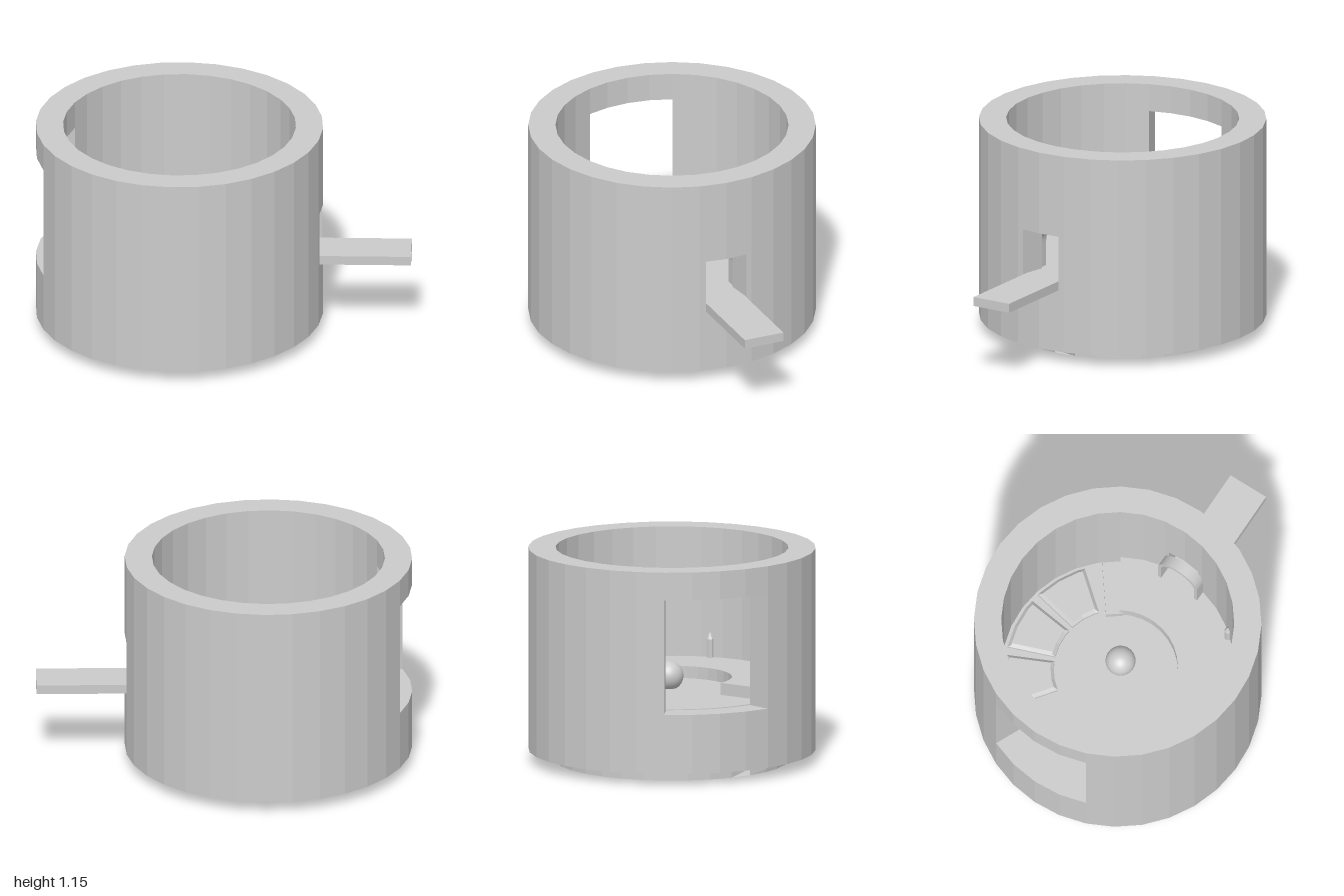
import * as THREE from 'three';

const RAD = Math.PI / 180, STEP = 11.25;
const R = 0.765, RI = 0.62, FLOOR = 0.38, BENCH = 0.45, TOP = 1.15;

const mat = new THREE.MeshStandardMaterial({ color: 0xcccccc, flatShading: true, side: THREE.DoubleSide });
const smooth = new THREE.MeshStandardMaterial({ color: 0xcccccc });

export function createModel() {
  const model = new THREE.Group();
  const body = new THREE.Group();
  body.name = 'tower';
  body.position.x = -0.235;
  model.add(body);

  const add = (name, geo, material = mat) => {
    const mesh = new THREE.Mesh(geo, material);
    mesh.name = name;
    body.add(mesh);
    return mesh;
  };

  // Point on a 32-sided ring; angle in degrees from +x towards +z
  const ringPoint = (r, a) => {
    const mid = (Math.floor(a / STEP + 1e-6) + 0.5) * STEP;
    const d = r * Math.cos(STEP / 2 * RAD) / Math.cos((a - mid) * RAD);
    return new THREE.Vector2(d * Math.cos(a * RAD), -d * Math.sin(a * RAD));
  };
  const arc = (r, a0, a1) => {
    const pts = [ringPoint(r, a0)];
    for (let k = Math.floor(a0 / STEP + 1e-6) + 1; k * STEP < a1 - 1e-6; k++) pts.push(ringPoint(r, k * STEP));
    pts.push(ringPoint(r, a1));
    return pts;
  };
  // Faceted ring segment between two radii, angles and heights
  const sector = (name, r0, r1, a0, a1, y0, y1, bevel = 0) => {
    const shape = new THREE.Shape([...arc(r1, a0, a1), ...arc(r0, a0, a1).reverse()]);
    const geo = new THREE.ExtrudeGeometry(shape, {
      depth: y1 - y0, bevelEnabled: bevel > 0, bevelSize: bevel, bevelThickness: bevel, bevelOffset: -bevel, bevelSegments: 1
    });
    geo.rotateX(-Math.PI / 2);
    geo.translate(0, y0, 0);
    return add(name, geo);
  };

  // Thick wall with a window on one side and a doorway on the other
  const D0 = 2.3, D1 = 19.9, W0 = 168.75, W1 = 213.75;
  sector('frontWall', RI, R, D1, W0, FLOOR, TOP);
  sector('backWall', RI, R, W1, 360 + D0, FLOOR, TOP);
  sector('windowLintel', RI, R, W0, W1, 1.0, TOP);
  sector('windowSill', RI, R, W0, W1, FLOOR - 0.02, FLOOR);
  sector('doorLintel', RI, R, D0, D1, 0.7, TOP);
  sector('doorSill', RI, R, D0, D1, FLOOR, 0.4);

  // Hollow lower skirt around the base drum
  const skirt = new THREE.CylinderGeometry(R, R, FLOOR - 0.06, 32, 1, true);
  skirt.translate(0, (FLOOR + 0.06) / 2, 0);
  add('skirt', skirt);

  // Base drum with one facet open on each side
  for (const [start, n] of [[-78.75, 14], [90, 16]]) {
    const drum = new THREE.CylinderGeometry(RI, RI, FLOOR, n, 1, true, start * RAD, n * STEP * RAD);
    drum.translate(0, FLOOR / 2, 0);
    add('baseDrum', drum);
  }
  const disk = (name, y, dir) => {
    const geo = new THREE.CircleGeometry(RI, 32);
    geo.rotateX(dir * Math.PI / 2);
    geo.translate(0, y, 0);
    add(name, geo);
  };
  disk('baseBottom', 0, 1);
  disk('floor', FLOOR + 0.005, -1);

  // Radial ribs beside the open facets
  for (const a of [0, STEP, 180 - STEP, 180]) {
    const rib = new THREE.ShapeGeometry(new THREE.Shape([[RI, 0], [R, 0.06], [R, FLOOR], [RI, FLOOR]]
      .map(p => new THREE.Vector2(...p))));
    rib.rotateY(-a * RAD);
    add('rib', rib);
  }

  // Raised half-ring platform and the step at its end
  sector('platform', 0.32, RI, -22.5, 156.5, FLOOR, BENCH);
  const step = add('step', new THREE.BoxGeometry(0.295, 0.04, 0.09));
  step.position.set(0.405, FLOOR + 0.02, -0.21);
  step.rotation.y = 28 * RAD;

  // Three bevelled floor pads along the back
  for (const a of [240, 272.5, 305]) sector('floorPad', 0.34, 0.6, a - 14, a + 14, FLOOR + 0.01, FLOOR + 0.025, 0.018);

  // Ball in the middle
  add('ball', new THREE.SphereGeometry(0.08, 32, 20), smooth).position.set(0.037, BENCH, 0);

  // Small pointed posts against the front wall
  for (const a of [50, 90, 130]) {
    const pts = [[0, BENCH], [0.02, BENCH], [0.02, 0.55], [0, 0.59]].map(p => new THREE.Vector2(...p));
    add('post', new THREE.LatheGeometry(pts, 8))
      .position.set(0.61 * Math.cos(a * RAD), 0, 0.61 * Math.sin(a * RAD));
  }

  // Entrance plank through the doorway
  const plank = add('entrancePlank', new THREE.BoxGeometry(0.63, 0.05, 0.225));
  plank.position.set(0.905, 0.425, 0.17);
  plank.rotation.y = -9 * RAD;

  // Arched frame inside the doorway
  const arch = new THREE.Shape();
  arch.moveTo(0.125, BENCH);
  arch.lineTo(0.125, 0.59);
  arch.absarc(0, 0.59, 0.125, 0, Math.PI, false);
  arch.lineTo(-0.125, BENCH);
  arch.lineTo(-0.105, BENCH);
  arch.lineTo(-0.105, 0.59);
  arch.absarc(0, 0.59, 0.105, Math.PI, 0, true);
  arch.lineTo(0.105, BENCH);
  const archGeo = new THREE.ExtrudeGeometry(arch, { depth: 0.06, bevelEnabled: false, curveSegments: 12 });
  archGeo.translate(0, 0, -0.03);
  const frame = add('doorArch', archGeo);
  frame.position.set(0.565, 0, 0.115);
  frame.rotation.y = (90 - 10) * RAD;

  return model;
}
